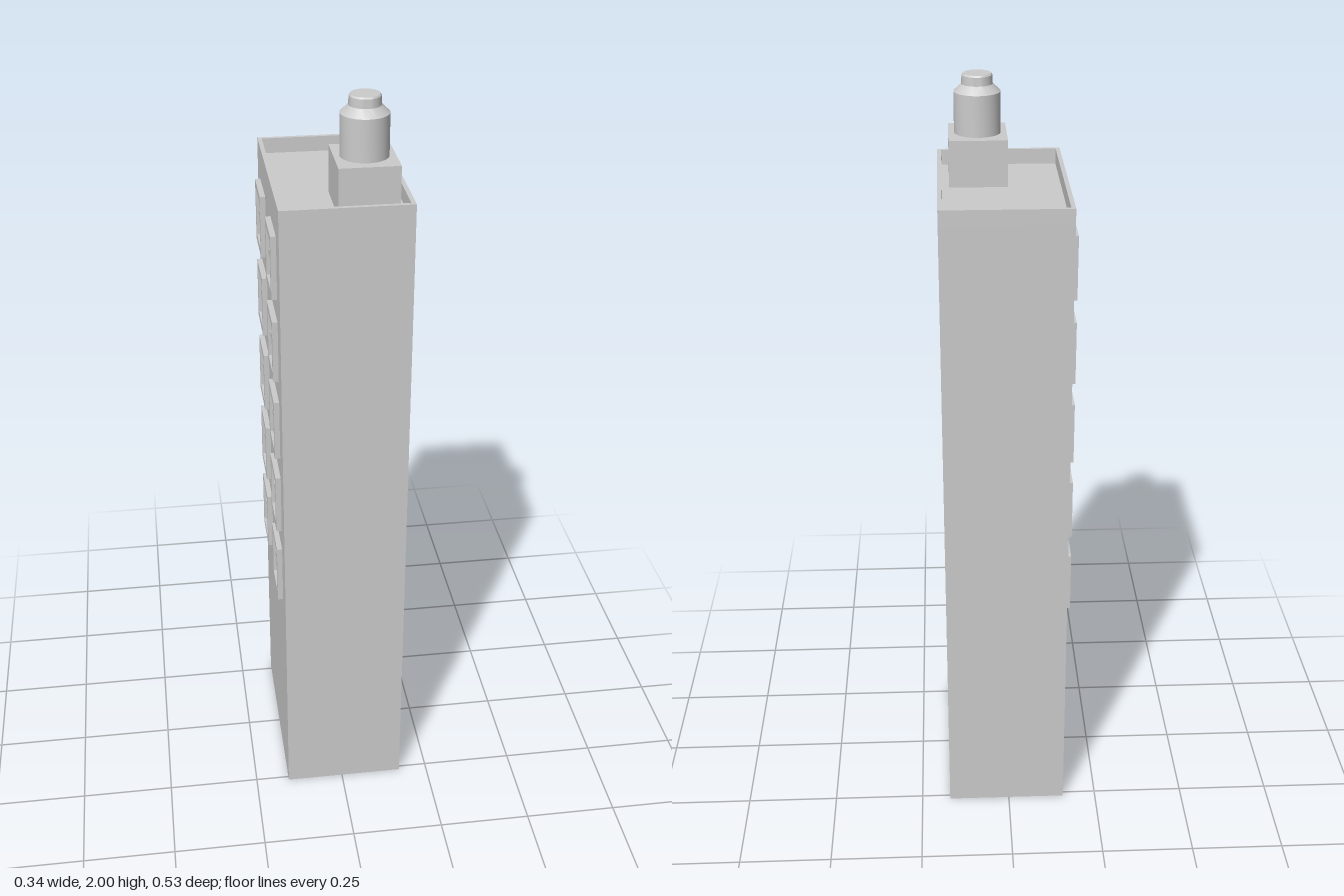
import * as THREE from 'three';
import { toCreasedNormals } from 'three/addons/utils/BufferGeometryUtils.js';

const material = new THREE.MeshStandardMaterial({ color: 0xcccccc });

function addMesh(parent, name, geometry, x = 0, y = 0, z = 0) {
  const mesh = new THREE.Mesh(geometry, material);
  mesh.name = name;
  mesh.position.set(x, y, z);
  parent.add(mesh);
  return mesh;
}

function rectangle(path, w, h, cx = 0, cy = 0) {
  path.moveTo(cx - w / 2, cy - h / 2);
  path.lineTo(cx + w / 2, cy - h / 2);
  path.lineTo(cx + w / 2, cy + h / 2);
  path.lineTo(cx - w / 2, cy + h / 2);
  path.closePath();
  return path;
}

// Rectangular frame in the XY plane, extruded along +z
function frameGeometry(w, h, border, depth) {
  const shape = rectangle(new THREE.Shape(), w, h);
  shape.holes.push(rectangle(new THREE.Path(), w - 2 * border, h - 2 * border));
  return new THREE.ExtrudeGeometry(shape, { depth, bevelEnabled: false });
}

export function createModel() {
  const model = new THREE.Group();
  model.name = 'towerBlock';

  const width = 0.327, depth = 0.528, roofY = 1.73, topY = 1.77;
  const cx = 0.0065, cz = -0.001, wallX = cx - width / 2;

  // Main block with a raised rim around the flat roof
  addMesh(model, 'building', new THREE.BoxGeometry(width, roofY, depth), cx, roofY / 2, cz);
  const rim = frameGeometry(width, depth, 0.011, topY - roofY).rotateX(-Math.PI / 2);
  addMesh(model, 'parapet', rim, cx, roofY, cz);

  // Rooftop plinth and stack
  addMesh(model, 'stackBase', new THREE.BoxGeometry(0.15, 1.85 - roofY, 0.175), 0.065, (1.85 + roofY) / 2, 0.132);
  const profile = [
    [0, 1.85], [0.06, 1.85], [0.06, 1.955], [0.04, 1.974],
    [0.039, 1.996], [0.036, 2], [0, 2],
  ].map(([r, y]) => new THREE.Vector2(r, y));
  const stack = toCreasedNormals(new THREE.LatheGeometry(profile, 32), Math.PI / 6);
  addMesh(model, 'stack', stack, 0.065, 0, 0.132);

  // Two columns of five framed windows on the right wall
  const w = 0.132, h = 0.166, border = 0.018;
  const frame = frameGeometry(w, h, border, 0.014).rotateY(-Math.PI / 2);
  const bar = new THREE.BoxGeometry(0.008, 0.013, w - 2 * border);
  for (let row = 0; row < 5; row++) {
    for (const z of [-0.134, 0.131]) {
      const pane = new THREE.Group();
      pane.name = 'window';
      pane.position.set(wallX, 0.691 + row * 0.2265, z);
      addMesh(pane, 'windowFrame', frame);
      addMesh(pane, 'windowBar', bar, -0.004);
      model.add(pane);
    }
  }

  return model;
}
